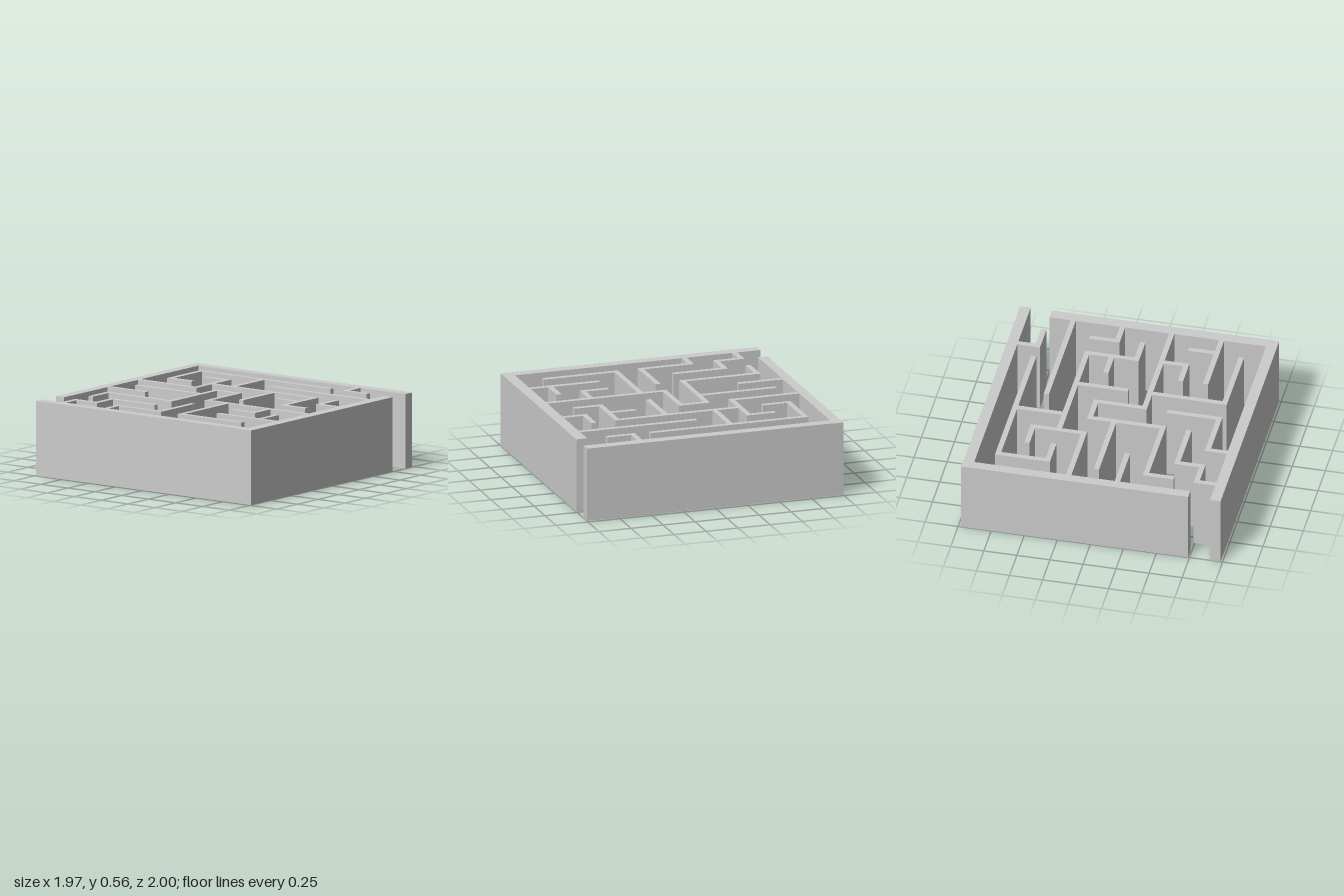
import * as THREE from 'three';

const HEIGHT = 0.56;
const material = new THREE.MeshStandardMaterial({ color: 0xcccccc, flatShading: true });

// Right-angled wall following a centre line of [x, z] points, with mitred corners and square ends.
function wall(name, path, thickness = 0.04) {
  const pts = path.map(([x, z]) => new THREE.Vector2(x, -z));
  const normals = pts.slice(1).map((p, i) => {
    const d = p.clone().sub(pts[i]).normalize();
    return new THREE.Vector2(-d.y, d.x).multiplyScalar(thickness / 2);
  });
  const last = pts.length - 1;
  const offsets = pts.map((p, i) => {
    if (i === 0) return normals[0];
    if (i === last) return normals[last - 1];
    return normals[i - 1].clone().add(normals[i]);
  });
  const leftSide = pts.map((p, i) => p.clone().add(offsets[i]));
  const rightSide = pts.map((p, i) => p.clone().sub(offsets[i])).reverse();
  const shape = new THREE.Shape([...leftSide, ...rightSide]);
  const geometry = new THREE.ExtrudeGeometry(shape, { depth: HEIGHT, bevelEnabled: false });
  geometry.rotateX(-Math.PI / 2);
  const mesh = new THREE.Mesh(geometry, material);
  mesh.name = name;
  return mesh;
}

export function createModel() {
  const model = new THREE.Group();
  model.name = 'maze';

  // Thick outer walls, with an entrance at the front and an exit at the back
  const outer = new THREE.Group();
  outer.name = 'outerWalls';
  outer.add(
    wall('rightOuterWall', [[-0.945, -1], [-0.945, 1]], 0.08),
    wall('backOuterWall', [[-0.74, -0.9625], [0.98, -0.9625]], 0.075),
    wall('leftOuterWall', [[0.935, -0.925], [0.935, 1]], 0.08),
    wall('frontOuterWall', [[-0.905, 0.9575], [0.735, 0.9575]], 0.085),
  );

  // Thin inner walls, as centre lines
  const innerPaths = {
    steppedWall: [[-0.905, -0.8], [-0.76, -0.8], [-0.76, -0.607], [-0.57, -0.607], [-0.57, -0.2]],
    rightHookWall: [[-0.905, -0.405], [-0.757, -0.405], [-0.757, -0.015], [-0.36, -0.015]],
    centreWindingWall: [[-0.587, -0.793], [-0.375, -0.793], [-0.375, -0.21], [0.177, -0.21],
      [0.177, -0.006], [-0.19, -0.006], [-0.19, 0.915]],
    backStub: [[-0.188, -0.925], [-0.188, -0.578]],
    centreStub: [[-0.005, -0.813], [-0.005, -0.23]],
    backHookWall: [[0.18, -0.925], [0.18, -0.403], [0.566, -0.403], [0.566, -0.61]],
    leftHookWall: [[0.37, -0.575], [0.37, -0.782], [0.746, -0.782], [0.746, 0.43]],
    leftLongWall: [[0.37, -0.383], [0.37, 0.557], [-0.005, 0.557], [-0.005, 0.768]],
    leftCrossWall: [[0.39, -0.203], [0.726, -0.203]],
    centreCrossWall: [[-0.027, 0.177], [0.35, 0.177]],
    rightCornerWall: [[-0.21, 0.177], [-0.755, 0.177], [-0.755, 0.747]],
    frontRightWall: [[-0.567, 0.373], [-0.567, 0.915]],
    frontRightStub: [[-0.547, 0.76], [-0.355, 0.76]],
    smallCornerWall: [[-0.378, 0.368], [-0.378, 0.567], [-0.21, 0.567]],
    smallStub: [[0.182, 0.347], [0.182, 0.537]],
    frontCornerWall: [[0.182, 0.915], [0.182, 0.745], [0.392, 0.745]],
    frontLeftWall: [[0.555, 0], [0.555, 0.915]],
    entranceCornerWall: [[0.895, 0.562], [0.743, 0.562], [0.743, 0.768]],
  };
  const inner = new THREE.Group();
  inner.name = 'innerWalls';
  for (const [name, path] of Object.entries(innerPaths)) inner.add(wall(name, path));

  model.add(outer, inner);
  return model;
}
